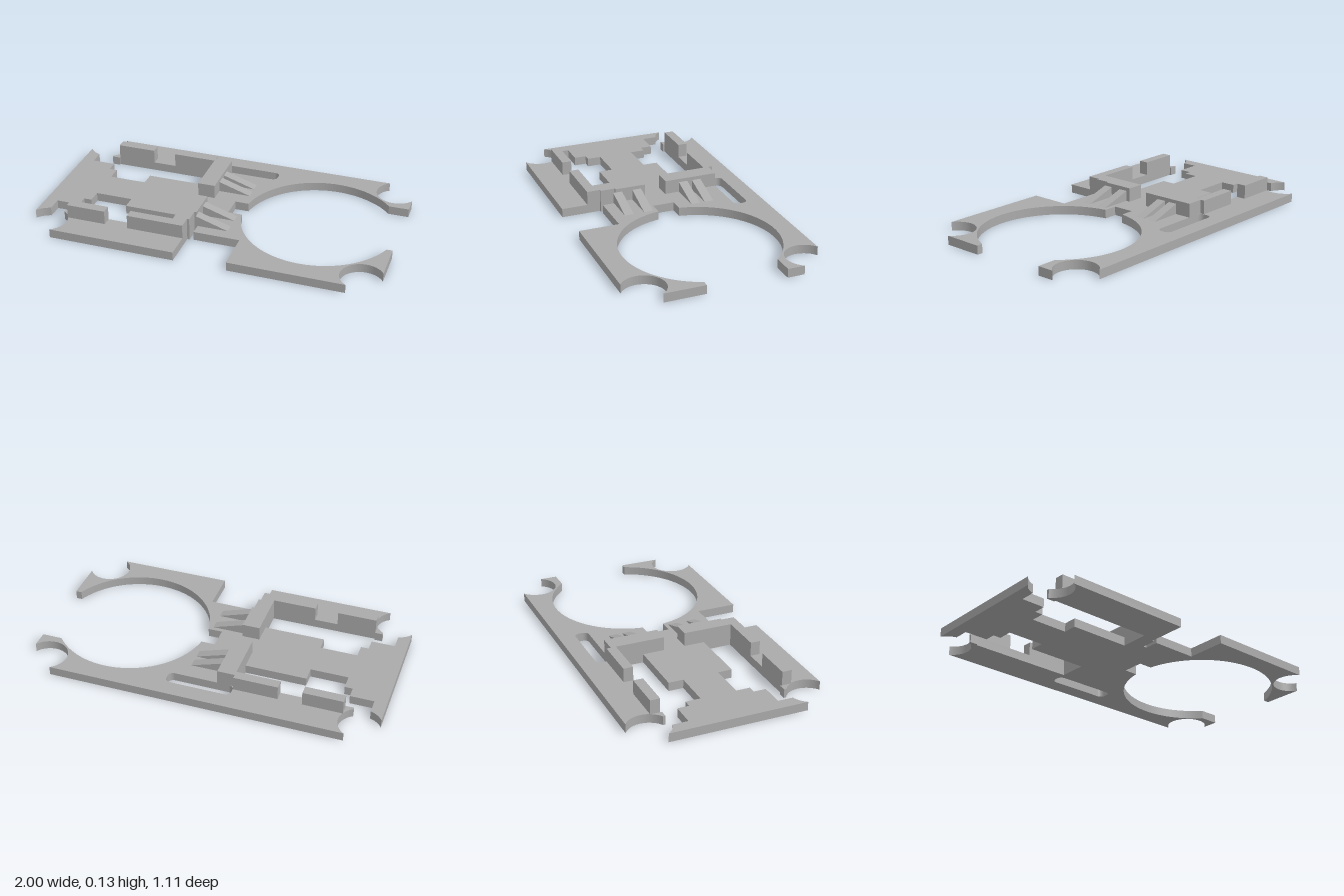
import * as THREE from 'three';

const PLATE = 0.05, TOP = 0.13;

// Extrude a plan-view shape (x, z) between two heights
function slab(shape, y0, y1, material, name) {
  const geo = new THREE.ExtrudeGeometry(shape, { depth: y1 - y0, bevelEnabled: false, curveSegments: 32 });
  geo.rotateX(Math.PI / 2);
  geo.translate(0, y1, 0);
  const mesh = new THREE.Mesh(geo, material);
  mesh.name = name;
  return mesh;
}

const polygon = (pts) => new THREE.Shape(pts.map(([x, z]) => new THREE.Vector2(x, z)));
const rect = (x0, x1, z0, z1) => polygon([[x0, z0], [x1, z0], [x1, z1], [x0, z1]]);

function plateShape() {
  const s = new THREE.Shape();
  const lines = (pts) => pts.forEach(([x, z]) => s.lineTo(x, z));
  const r = 0.118, a = 0.56, PI = Math.PI;
  const cx = 0.556, cz = -0.003, R = 0.44;
  const ang = (x, z) => Math.atan2(z - cz, x - cx);

  // back edge and back left corner scallop
  s.moveTo(-0.837, -0.555);
  lines([[0.837, -0.555]]);
  s.absarc(0.9, -0.455, r, 1.5 * PI - a, a, true);
  lines([[1, -0.295]]);
  // large round opening with a small notch
  s.absarc(cx, cz, R, ang(0.886, -0.295), ang(0.12, -0.065), true);
  lines([[0.04, -0.065], [0.04, 0.06]]);
  s.absarc(cx, cz, R, ang(0.12, 0.06), ang(0.965, 0.155), true);
  lines([[1, 0.155]]);
  // front left scallop and front edge with its cut-out
  s.absarc(0.9, 0.45, r, -a, a - 1.5 * PI, true);
  lines([[0.19, 0.55], [0.19, 0.32], [-0.075, 0.32], [-0.075, 0.24], [-0.097, 0.24],
    [-0.097, 0.325], [-0.11, 0.325], [-0.11, 0.55]]);
  // front right scallop and front slot
  s.absarc(-0.9, 0.45, r, PI / 2 - a, -1.037, true);
  lines([[-0.84, 0.335], [-0.795, 0.335], [-0.795, 0.345], [-0.185, 0.345], [-0.185, 0.18],
    [-0.535, 0.18], [-0.535, 0.1], [-0.75, 0.1], [-0.75, 0.18], [-0.795, 0.18],
    [-0.795, 0.25], [-0.93, 0.25]]);
  s.absarc(-0.9, 0.45, r, -1.828, a - PI, true);
  // right end, back slot and back right scallop
  s.absarc(-0.9, -0.455, r, PI - a, 1.828, true);
  lines([[-0.93, -0.255], [-0.795, -0.255], [-0.795, -0.19], [-0.75, -0.19], [-0.75, -0.105],
    [-0.535, -0.105], [-0.535, -0.19], [-0.185, -0.19], [-0.185, -0.35], [-0.795, -0.35],
    [-0.795, -0.34], [-0.84, -0.34]]);
  s.absarc(-0.9, -0.455, r, 1.037, a - PI / 2, true);

  // rounded slot near the back edge
  const h = new THREE.Path(), q = 0.03, x0 = -0.183, x1 = 0.192, z0 = -0.46, z1 = -0.38;
  h.absarc(x0 + q, z0 + q, q, PI, 1.5 * PI, false);
  h.absarc(x1 - q, z0 + q, q, -PI / 2, 0, false);
  h.absarc(x1 - q, z1 - q, q, 0, PI / 2, false);
  h.absarc(x0 + q, z1 - q, q, PI / 2, PI, false);
  s.holes.push(h);
  return s;
}

export function createModel() {
  const grey = new THREE.MeshStandardMaterial({ color: 0xaaaaaa });
  grey.name = 'grey';
  const model = new THREE.Group();
  model.name = 'bracketPlate';
  const body = new THREE.Group();
  body.name = 'body';
  body.position.z = 0.0025;
  model.add(body);

  body.add(slab(plateShape(), 0, PLATE, grey, 'basePlate'));

  // short guide rails beside each slot
  body.add(slab(rect(-0.795, -0.57, -0.405, -0.35), PLATE, TOP, grey, 'backRail'));
  body.add(slab(rect(-0.795, -0.57, 0.345, 0.4), PLATE, TOP, grey, 'frontRail'));

  // stop walls, each joined to a longer rail
  body.add(slab(polygon([[-0.435, -0.405], [-0.185, -0.405], [-0.185, -0.38], [-0.085, -0.38],
    [-0.085, -0.065], [-0.185, -0.065], [-0.185, -0.35], [-0.435, -0.35]]), PLATE, TOP, grey, 'backStopWall'));
  body.add(slab(polygon([[-0.185, 0.06], [-0.085, 0.06], [-0.085, 0.24], [-0.097, 0.24],
    [-0.097, 0.325], [-0.11, 0.325], [-0.11, 0.4], [-0.435, 0.4], [-0.435, 0.345],
    [-0.185, 0.345]]), PLATE, TOP, grey, 'frontStopWall'));

  // sloping ribs bracing the stop walls
  const side = polygon([[-0.085, PLATE], [0.1, PLATE], [-0.085, 0.11]]);
  for (const z of [-0.285, -0.203, 0.085, 0.2]) {
    const geo = new THREE.ExtrudeGeometry(side, { depth: 0.053, bevelEnabled: false });
    const rib = new THREE.Mesh(geo, grey);
    rib.name = 'rib';
    rib.position.z = z;
    body.add(rib);
  }
  return model;
}
